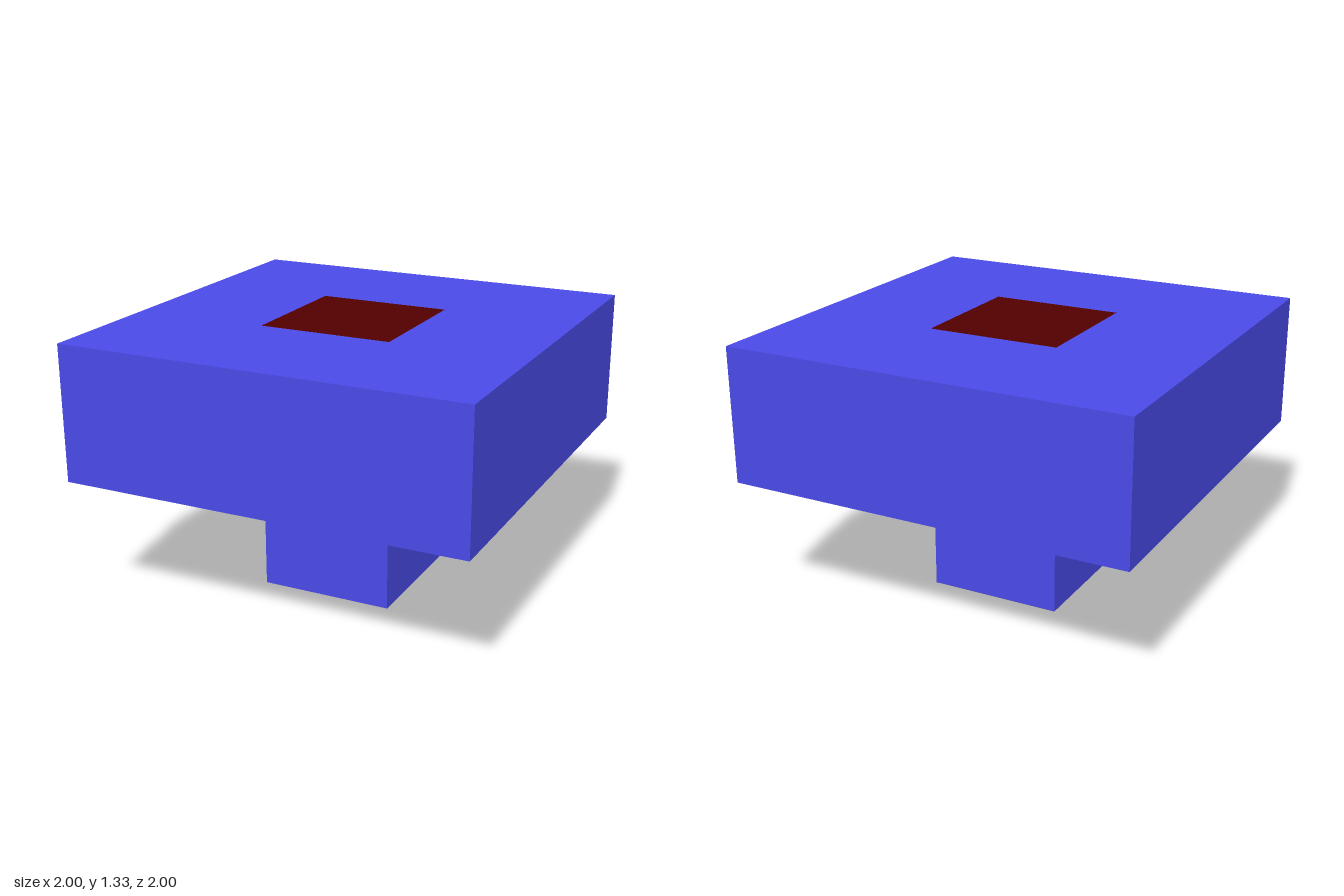
import * as THREE from 'three';

const blue = new THREE.MeshStandardMaterial({ color: 0x4a4ae8 });
blue.name = 'blue';
const darkRed = new THREE.MeshStandardMaterial({ color: 0x530000 });
darkRed.name = 'darkRed';

const UNIT = 2 / 3; // the model sits on a grid of thirds

export function createModel() {
  const model = new THREE.Group();
  model.name = 'squarePedestal';

  const addBox = (name, width, height, bottom, material) => {
    const mesh = new THREE.Mesh(new THREE.BoxGeometry(width, height, width), material);
    mesh.name = name;
    mesh.position.y = bottom + height / 2;
    model.add(mesh);
  };

  // Square stem carrying a wide slab
  addBox('stem', UNIT, UNIT, 0, blue);
  addBox('slab', 3 * UNIT, UNIT, UNIT, blue);

  // Painted square in the middle of the slab's top
  const panel = new THREE.Mesh(new THREE.PlaneGeometry(0.66, 0.66), darkRed);
  panel.name = 'topPanel';
  panel.rotation.x = -Math.PI / 2;
  panel.position.y = 2 * UNIT + 0.001;
  model.add(panel);

  return model;
}
